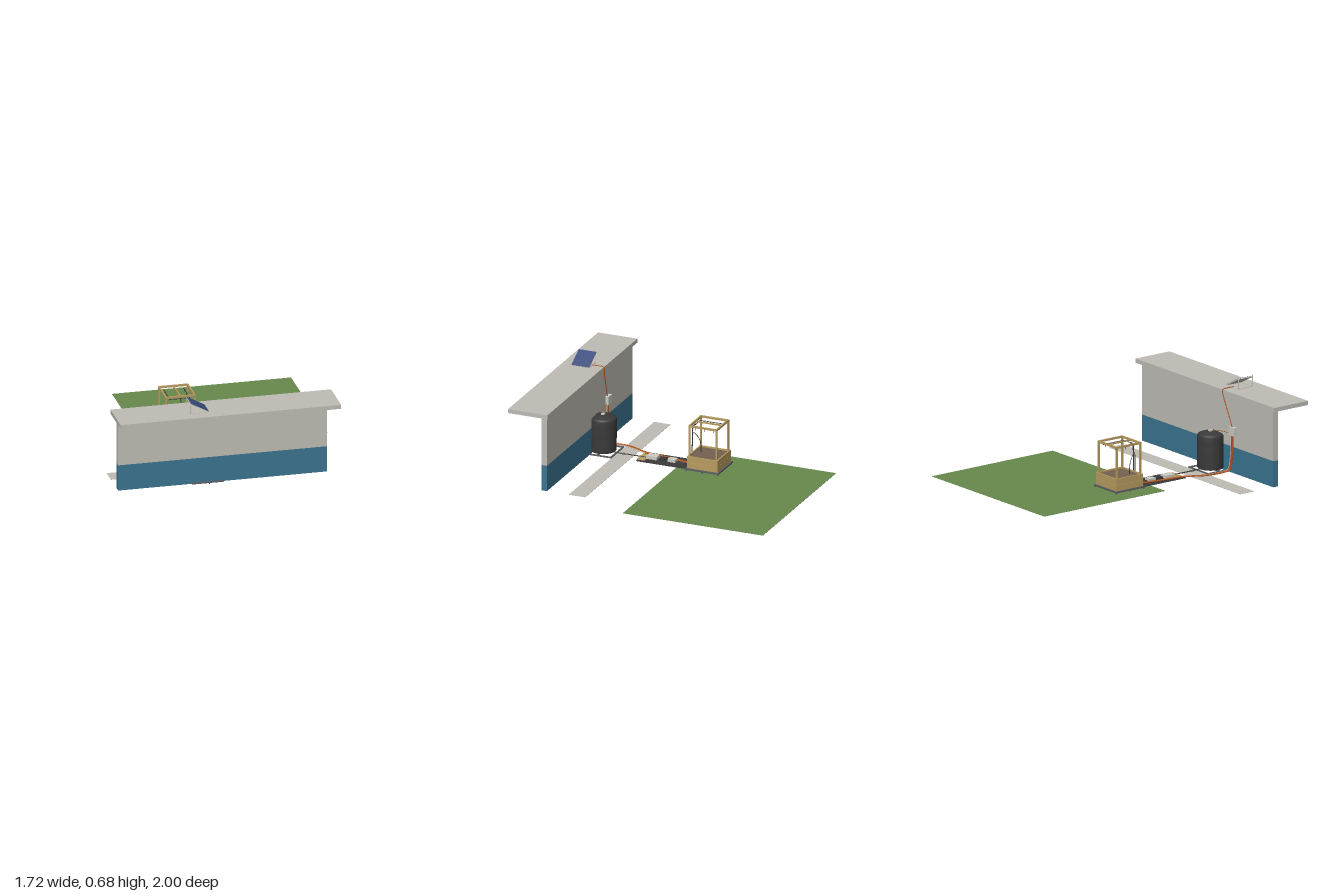
import * as THREE from 'three';

const mat = (name, color) => {
  const m = new THREE.MeshStandardMaterial({ color });
  m.name = name;
  return m;
};

export function createModel() {
  const M = {
    concrete: mat('concrete', 0xbfbdb5),
    wallBlue: mat('wall blue', 0x3a7591),
    grass: mat('grass green', 0x688a4d),
    panel: mat('panel blue', 0x3a4d7c),
    wood: mat('wood', 0xb89c60),
    soil: mat('soil brown', 0x74604f),
    dark: mat('dark plastic', 0x3a3a3b),
    cable: mat('orange cable', 0xb0561f),
    steel: mat('steel grey', 0x5c5d62),
    casing: mat('pale casing', 0xcbcac2),
  };
  const root = new THREE.Group();
  const group = (name) => {
    const g = new THREE.Group();
    g.name = name;
    root.add(g);
    return g;
  };
  const add = (parent, name, geo, material) => {
    const m = new THREE.Mesh(geo, material);
    m.name = name;
    parent.add(m);
    return m;
  };
  // Box given by its limits along each axis
  const box = (parent, name, material, [x0, x1], [y0, y1], [z0, z1]) => {
    const m = add(parent, name, new THREE.BoxGeometry(x1 - x0, y1 - y0, z1 - z0), material);
    m.position.set((x0 + x1) / 2, (y0 + y1) / 2, (z0 + z1) / 2);
    return m;
  };
  const around = (c, h) => [c - h, c + h];
  // Round rod between two points
  const rod = (parent, name, material, a, b, r) => {
    const p = new THREE.Vector3(...a), q = new THREE.Vector3(...b);
    const d = q.clone().sub(p);
    const m = add(parent, name, new THREE.CylinderGeometry(r, r, d.length(), 8), material);
    m.position.copy(p).add(q).multiplyScalar(0.5);
    m.quaternion.setFromUnitVectors(new THREE.Vector3(0, 1, 0), d.normalize());
    return m;
  };
  const hose = (parent, name, material, pts, r, dx = 0) => {
    const curve = new THREE.CatmullRomCurve3(
      pts.map(([x, y, z]) => new THREE.Vector3(x + dx, y, z)), false, 'centripetal');
    return add(parent, name, new THREE.TubeGeometry(curve, 60, r, 8), material);
  };

  // Ground surfaces
  box(root, 'lawn', M.grass, [-0.43, 0.86], [0.009, 0.011], [-1, 0.068]);
  box(root, 'path', M.concrete, [-0.82, 0.685], [0.009, 0.011], [0.43, 0.555]);
  box(root, 'equipmentMat', M.dark, [-0.265, -0.083], [0.0112, 0.0145], [0, 0.375]);

  // Wall with painted base and flat roof
  const building = group('building');
  box(building, 'wallBase', M.wallBlue, [-0.82, 0.685], [0.01, 0.2], [0.722, 0.765]);
  box(building, 'wallUpper', M.concrete, [-0.82, 0.685], [0.2, 0.57], [0.722, 0.765]);
  box(building, 'roofSlab', M.concrete, [-0.86, 0.73], [0.57, 0.6], [0.7, 1]);

  // Solar panel on a triangular stand
  const solar = group('solarPanel');
  const slope = Math.atan2(0.07, 0.13);
  const tilt = new THREE.Group();
  tilt.name = 'tiltedPanel';
  tilt.position.set(-0.27, 0.6405, 0.852);
  tilt.rotation.z = -slope;
  solar.add(tilt);
  box(tilt, 'panelFrame', M.casing, around(0, 0.073), around(0, 0.003), around(0, 0.067));
  box(tilt, 'panelFace', M.panel, around(0, 0.073), [0.003, 0.0045], around(0, 0.067));
  for (const z of [0.79, 0.914]) {
    box(solar, 'standUpright', M.casing, [-0.334, -0.329], [0.6, 0.672], around(z, 0.0025));
    box(solar, 'standRail', M.casing, [-0.334, -0.206], [0.6, 0.605], around(z, 0.0025));
  }
  box(solar, 'standCrossbar', M.casing, [-0.334, -0.329], [0.6, 0.605], [0.79, 0.914]);

  // Water tank
  const tank = group('waterTank');
  const profile = [
    [0, 0.02], [0.09, 0.02], [0.094, 0.026], [0.095, 0.1], [0.093, 0.103], [0.095, 0.106],
    [0.095, 0.19], [0.093, 0.193], [0.095, 0.196], [0.095, 0.255], [0.09, 0.266],
    [0.075, 0.272], [0.045, 0.277], [0.043, 0.284], [0, 0.284],
  ].map(([x, y]) => new THREE.Vector2(x, y));
  const body = add(tank, 'tankBody', new THREE.LatheGeometry(profile, 40), M.dark);
  body.position.set(-0.175, 0, 0.665);
  box(tank, 'levelSensor', M.casing, around(-0.175, 0.012), [0.284, 0.294], around(0.665, 0.012));

  // Low frame under the tank
  for (const x of [-0.284, -0.067])
    box(tank, 'baseRailLong', M.steel, around(x, 0.005), [0.01, 0.019], [0.555, 0.78]);
  for (const z of [0.56, 0.665, 0.775])
    box(tank, 'baseRailCross', M.steel, [-0.289, -0.062], [0.01, 0.019], around(z, 0.005));
  rod(tank, 'drain', M.steel, [-0.165, 0.003, 0.775], [-0.165, 0.012, 0.775], 0.004);

  // Raised planting bed
  const bed = group('raisedBed');
  const cx = -0.175, cz = -0.14;
  for (const s of [-1, 1]) {
    box(bed, 'baseRail', M.steel, around(cx + s * 0.122, 0.006), [0.02, 0.031], around(cz, 0.128));
    box(bed, 'baseCrossRail', M.steel, around(cx, 0.128), [0.02, 0.031], around(cz + s * 0.122, 0.006));
    for (const [y0, y1] of [[0.031, 0.0745], [0.0755, 0.12]]) {
      box(bed, 'sidePlank', M.wood, around(cx + s * 0.112, 0.005), [y0, y1], around(cz, 0.117));
      box(bed, 'endPlank', M.wood, around(cx, 0.107), [y0, y1], around(cz + s * 0.112, 0.005));
    }
    for (const t of [-1, 0, 1])
      rod(bed, 'foot', M.steel, [cx + s * 0.12, 0, cz + t * 0.12], [cx + s * 0.12, 0.02, cz + t * 0.12], 0.006);
    for (const t of [-1, 1])
      box(bed, 'post', M.wood, around(cx + s * 0.103, 0.006), [0.09, 0.336], around(cz + t * 0.103, 0.006));
    box(bed, 'topRail', M.wood, around(cx + s * 0.103, 0.006), [0.336, 0.35], around(cz, 0.109));
    box(bed, 'topCrossRail', M.wood, around(cx, 0.097), [0.336, 0.35], around(cz + s * 0.103, 0.006));
    // Drip lines with hanging nozzles
    const x = cx + s * 0.071;
    rod(bed, 'dripLine', M.dark, [x, 0.325, cz - 0.095], [x, 0.325, cz + 0.095], 0.0028);
    for (const z of [-0.07, 0, 0.07])
      rod(bed, 'nozzle', M.dark, [x, 0.306, cz + z], [x, 0.325, cz + z], 0.002);
  }
  box(bed, 'centreRail', M.wood, around(cx, 0.005), [0.338, 0.348], around(cz, 0.1));
  box(bed, 'soil', M.soil, around(cx, 0.107), [0.031, 0.11], around(cz, 0.107));
  rod(bed, 'dripManifold', M.dark, [cx - 0.071, 0.325, cz + 0.095], [cx + 0.071, 0.325, cz + 0.095], 0.0028);
  rod(bed, 'soilSensor', M.dark, [-0.2, 0.09, -0.07], [-0.2, 0.15, -0.07], 0.003);

  // Pump and control equipment on the mat
  const gear = group('controlEquipment');
  box(gear, 'controlBox', M.casing, [-0.198, -0.15], [0.0145, 0.036], [0.105, 0.165]);
  box(gear, 'pump', M.dark, [-0.192, -0.156], [0.0145, 0.032], [0.18, 0.23]);
  box(gear, 'batteryBox', M.casing, [-0.207, -0.144], [0.0145, 0.037], [0.245, 0.325]);
  box(gear, 'woodenBoard', M.wood, [-0.227, -0.105], [0.0145, 0.018], [0.32, 0.38]);

  // Supply pipe from tank through the equipment and up to the drip lines
  const pipes = group('pipework');
  rod(pipes, 'supplyPipe', M.dark, [-0.163, 0.019, 0.1], [-0.163, 0.019, 0.59], 0.004);
  rod(pipes, 'valve', M.steel, [-0.163, 0.019, 0.5], [-0.163, 0.019, 0.525], 0.007);
  hose(pipes, 'riser', M.dark, [[-0.174, 0.02, 0.11], [-0.174, 0.018, 0.02], [-0.174, 0.03, -0.004],
    [-0.174, 0.17, -0.015], [-0.174, 0.31, -0.024], [-0.174, 0.325, -0.045]], 0.004);

  // Junction box and cabling
  const wiring = group('wiring');
  box(wiring, 'junctionBox', M.casing, [-0.405, -0.343], [0.288, 0.348], [0.696, 0.722]);
  hose(wiring, 'panelCable', M.cable, [[-0.265, 0.604, 0.8], [-0.268, 0.604, 0.71], [-0.269, 0.598, 0.697],
    [-0.275, 0.56, 0.7], [-0.355, 0.36, 0.712], [-0.36, 0.34, 0.712]], 0.0035);
  hose(wiring, 'sensorCable', M.cable, [[-0.345, 0.3, 0.71], [-0.26, 0.3, 0.69], [-0.18, 0.292, 0.665]], 0.002);
  const run = [[-0.365, 0.29, 0.71], [-0.36, 0.15, 0.712], [-0.335, 0.03, 0.705], [-0.322, 0.018, 0.66],
    [-0.31, 0.018, 0.52], [-0.245, 0.019, 0.37], [-0.228, 0.019, 0.25], [-0.2, 0.019, 0.08], [-0.182, 0.02, 0.01]];
  for (const dx of [-0.008, 0, 0.008]) hose(wiring, 'groundCable', M.cable, run, 0.0038, dx);
  hose(wiring, 'greyCable', M.casing, run.slice(0, 6), 0.003, 0.016);
  hose(wiring, 'bedCable', M.dark, [[-0.185, 0.02, 0.02], [-0.186, 0.06, -0.005], [-0.188, 0.25, -0.018],
    [-0.2, 0.2, -0.06], [-0.2, 0.15, -0.07]], 0.0025);

  return root;
}
